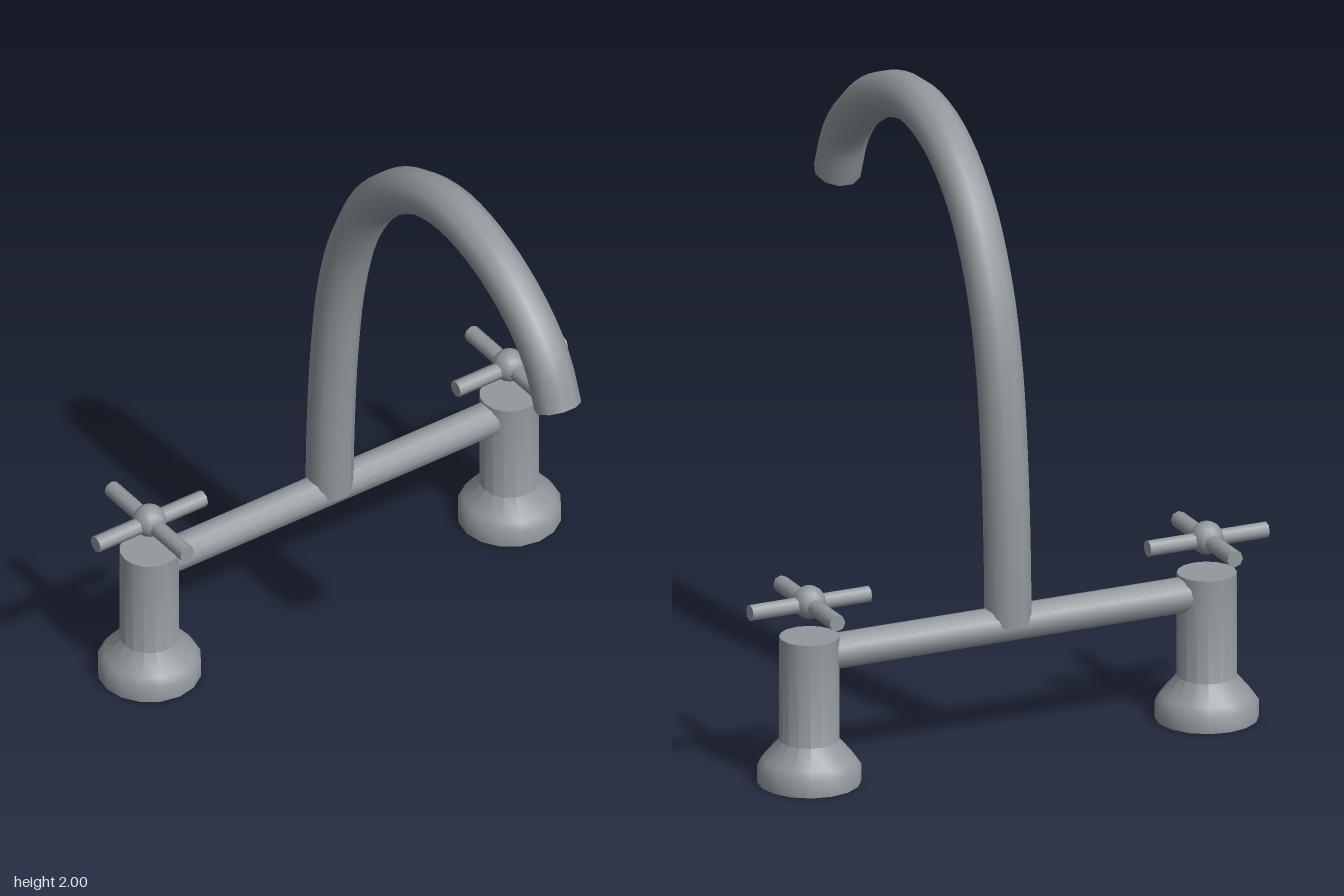
import * as THREE from 'three';
import { toCreasedNormals } from 'three/addons/utils/BufferGeometryUtils.js';

const BACK = -0.55; // depth of the valve line

export function createModel() {
  const group = new THREE.Group();
  const metal = new THREE.MeshStandardMaterial({ color: 0x92989c });
  metal.name = 'brushed metal';

  const add = (parent, name, geometry, x = 0, y = 0, z = 0) => {
    const mesh = new THREE.Mesh(geometry, metal);
    mesh.name = name;
    mesh.position.set(x, y, z);
    parent.add(mesh);
    return mesh;
  };

  // Valve body: flared foot and straight column
  const profile = [[0, 0], [0.163, 0], [0.163, 0.055], [0.145, 0.08], [0.094, 0.14], [0.094, 0.48], [0, 0.48]]
    .map(([r, y]) => new THREE.Vector2(r, y));
  const bodyGeometry = toCreasedNormals(new THREE.LatheGeometry(profile, 16), 0.75);
  const barGeometry = new THREE.CylinderGeometry(0.027, 0.027, 0.41, 8);
  const hubGeometry = new THREE.SphereGeometry(0.053, 12, 8);

  for (const [side, x] of [['left', 0.687], ['right', -0.687]]) {
    const valve = new THREE.Group();
    valve.name = side + 'Valve';
    valve.position.set(x, 0, BACK);
    add(valve, 'valveBody', bodyGeometry);
    // Cross handle floating just above the column
    add(valve, 'handleHub', hubGeometry, 0, 0.593, 0);
    add(valve, 'handleBarAcross', barGeometry, 0, 0.588, 0).rotation.z = Math.PI / 2;
    add(valve, 'handleBarDeep', barGeometry, 0, 0.588, 0).rotation.x = Math.PI / 2;
    group.add(valve);
  }

  // Bridge pipe between the two valves
  add(group, 'bridgePipe', new THREE.CylinderGeometry(0.057, 0.057, 1.23, 12), 0, 0.417, BACK)
    .rotation.z = Math.PI / 2;

  // Gooseneck spout
  const path = new THREE.CatmullRomCurve3([
    [0.42, -0.55], [0.65, -0.544], [0.95, -0.525], [1.25, -0.485], [1.49, -0.415], [1.71, -0.29],
    [1.87, -0.1], [1.928, 0.11], [1.886, 0.33], [1.775, 0.52], [1.655, 0.627], [1.515, 0.685],
  ].map(([y, z]) => new THREE.Vector3(0, y, z)));
  add(group, 'spout', new THREE.TubeGeometry(path, 48, 0.075, 10));

  // Discs closing both ends of the spout
  for (const [name, t, sign] of [['spoutBaseCap', 0, -1], ['spoutMouth', 1, 1]]) {
    const cap = add(group, name, new THREE.CircleGeometry(0.075, 10));
    cap.position.copy(path.getPointAt(t));
    cap.quaternion.setFromUnitVectors(
      new THREE.Vector3(0, 0, 1), path.getTangentAt(t).multiplyScalar(sign));
  }
  return group;
}
